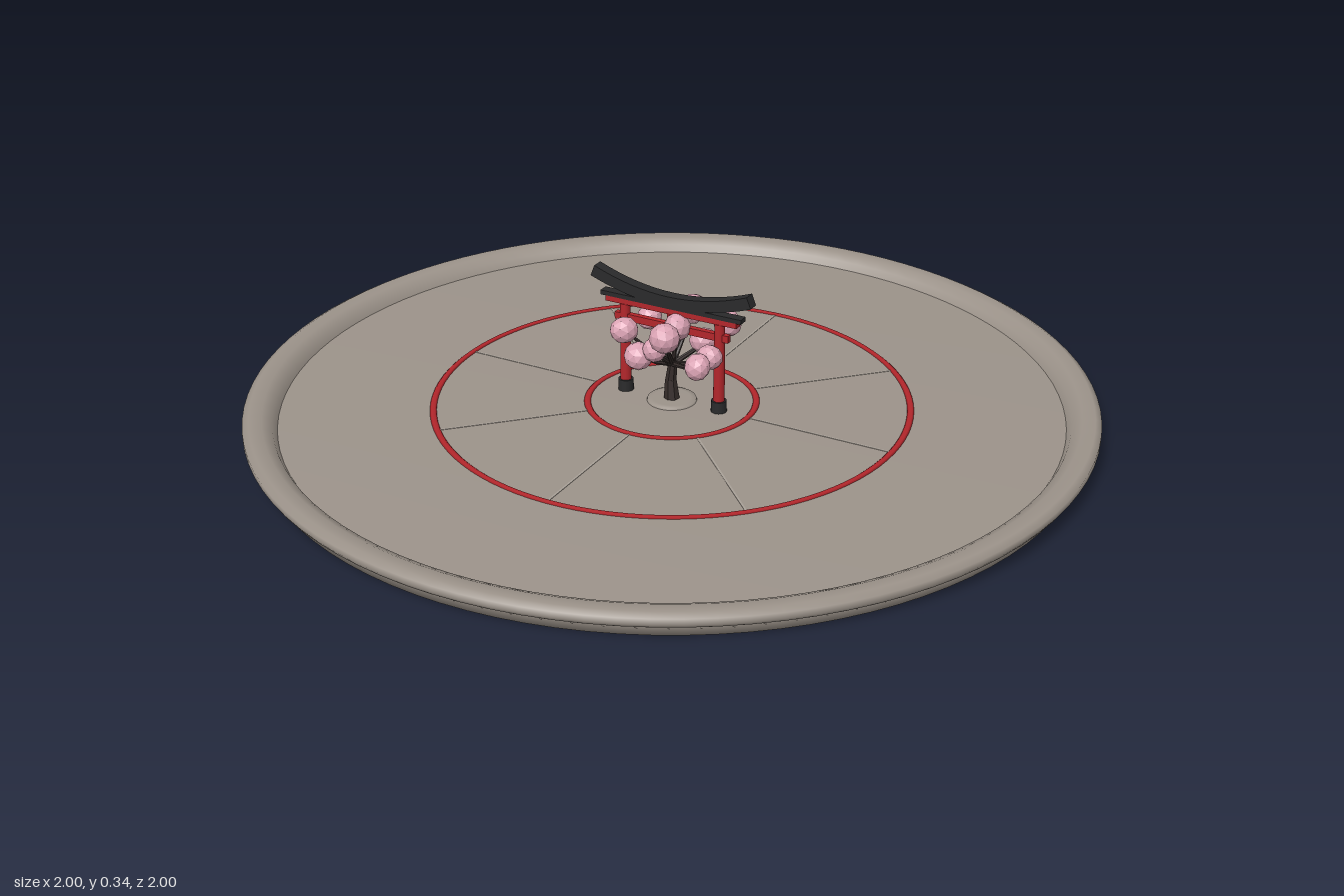
import * as THREE from 'three';

const mat = (name, color, extra = {}) =>
  Object.assign(new THREE.MeshStandardMaterial({ color, ...extra }), { name });

export function createModel() {
  const root = new THREE.Group();
  const stone = mat('stone', 0x9c938a);
  const groove = mat('pale groove', 0xa9a198);
  const red = mat('red lacquer', 0xb3262b);
  const black = mat('black wood', 0x2a2a2b);
  const bark = mat('bark', 0x362d2b, { flatShading: true });
  const pink = mat('blossom pink', 0xdba3b4, { flatShading: true });
  const FLOOR = 0.031;

  function add(name, geo, material, x = 0, y = 0, z = 0, parent = root) {
    const m = new THREE.Mesh(geo, material);
    m.name = name;
    m.position.set(x, y, z);
    parent.add(m);
    return m;
  }
  const lathe = (pts, seg = 96) =>
    new THREE.LatheGeometry(pts.map(p => new THREE.Vector2(...p)), seg);

  // Round platform with a raised rim
  add('platform', lathe([[0, 0], [0.97, 0], [0.97, FLOOR], [0, FLOOR]]), stone);
  add('rim', lathe([[0.92, 0.028], [0.965, 0.028], [0.995, 0.034], [1, 0.042], [1, 0.056],
    [0.985, 0.064], [0.955, 0.062], [0.932, 0.05], [0.92, 0.028]]), stone);

  // Inlaid floor rings and radial lines
  for (const r of [0.2, 0.563]) {
    const ring = add('floorRing', new THREE.TorusGeometry(r, 0.008, 6, 96), red, 0, FLOOR, 0);
    ring.rotation.x = Math.PI / 2;
    ring.scale.z = 0.5;
  }
  for (let i = 0; i < 8; i++) {
    const a = i * Math.PI / 4;
    const line = add('floorLine', new THREE.BoxGeometry(0.355, 0.002, 0.005), groove,
      Math.cos(a) * 0.38, FLOOR, Math.sin(a) * 0.38);
    line.rotation.y = -a;
  }
  add('treeBed', lathe([[0.06, 0.028], [0.058, 0.036], [0.045, 0.037], [0, 0.037]], 32), stone);

  // Gate
  const gate = new THREE.Group();
  gate.name = 'gate';
  root.add(gate);
  for (const s of [-1, 1]) {
    add('post', new THREE.CylinderGeometry(0.012, 0.014, 0.225, 16), red, s * 0.125, 0.143, 0, gate);
    add('postFoot', new THREE.CylinderGeometry(0.018, 0.019, 0.028, 16), black, s * 0.125, 0.045, 0, gate);
  }
  add('lowerBeam', new THREE.BoxGeometry(0.3, 0.018, 0.014), red, 0, 0.221, 0, gate);
  add('centreStrut', new THREE.BoxGeometry(0.02, 0.03, 0.012), red, 0, 0.243, 0, gate);
  add('upperBeam', new THREE.BoxGeometry(0.345, 0.014, 0.02), red, 0, 0.262, 0, gate);
  add('capBeam', new THREE.BoxGeometry(0.37, 0.011, 0.024), black, 0, 0.2745, 0, gate);

  // Upswept top beam, bent from a straight box
  const roof = new THREE.BoxGeometry(0.41, 0.027, 0.028, 16, 1, 1);
  const p = roof.attributes.position;
  for (let i = 0; i < p.count; i++) {
    const x = p.getX(i), y = p.getY(i);
    p.setXY(i, x - y * 1.9 * x, y + 0.95 * x * x);
  }
  roof.computeVertexNormals();
  add('curvedTopBeam', roof, black, 0, 0.287, 0, gate);

  // Blossom tree
  const tree = new THREE.Group();
  tree.name = 'blossomTree';
  root.add(tree);
  const V = (x, y, z) => new THREE.Vector3(x, y, z);
  function limb(name, a, b, r0, r1) {
    const d = b.clone().sub(a);
    const m = add(name, new THREE.CylinderGeometry(r1, r0, d.length(), 7), bark, 0, 0, 0, tree);
    m.position.copy(a).addScaledVector(d, 0.5);
    m.quaternion.setFromUnitVectors(V(0, 1, 0), d.normalize());
  }
  const fork = V(0.002, 0.125, 0);
  limb('trunk', V(0, 0.03, 0), V(-0.003, 0.085, 0), 0.02, 0.014);
  limb('trunk', V(-0.003, 0.08, 0), fork, 0.014, 0.011);

  let seed = 7;
  const rand = () => (seed = (seed * 16807) % 2147483647) / 2147483647;
  // Cluster centres and radii: x, y, z, r
  const clusters = [
    [-0.1, 0.21, 0.05, 0.034], [-0.045, 0.168, 0.08, 0.034], [0.01, 0.235, -0.085, 0.036],
    [0.1, 0.215, -0.09, 0.033], [0.035, 0.238, 0.1, 0.036], [0.115, 0.18, 0.09, 0.034],
    [0.12, 0.185, 0.04, 0.03], [-0.085, 0.21, -0.045, 0.032], [0.02, 0.228, 0.01, 0.034],
    [0.055, 0.175, -0.055, 0.035], [-0.005, 0.19, 0.075, 0.03],
  ];
  for (const [x, y, z, r] of clusters) {
    const c = V(x, y, z);
    const mid = fork.clone().lerp(c, 0.5);
    mid.y -= 0.006;
    limb('branch', fork, mid, 0.007, 0.005);
    limb('branch', mid, c, 0.005, 0.003);
    const b = add('blossom', new THREE.IcosahedronGeometry(r, 1), pink, x, y, z, tree);
    b.rotation.set(rand() * 6, rand() * 6, rand() * 6);
    b.scale.set(0.9 + rand() * 0.2, 0.8 + rand() * 0.2, 0.9 + rand() * 0.2);
  }
  return root;
}
